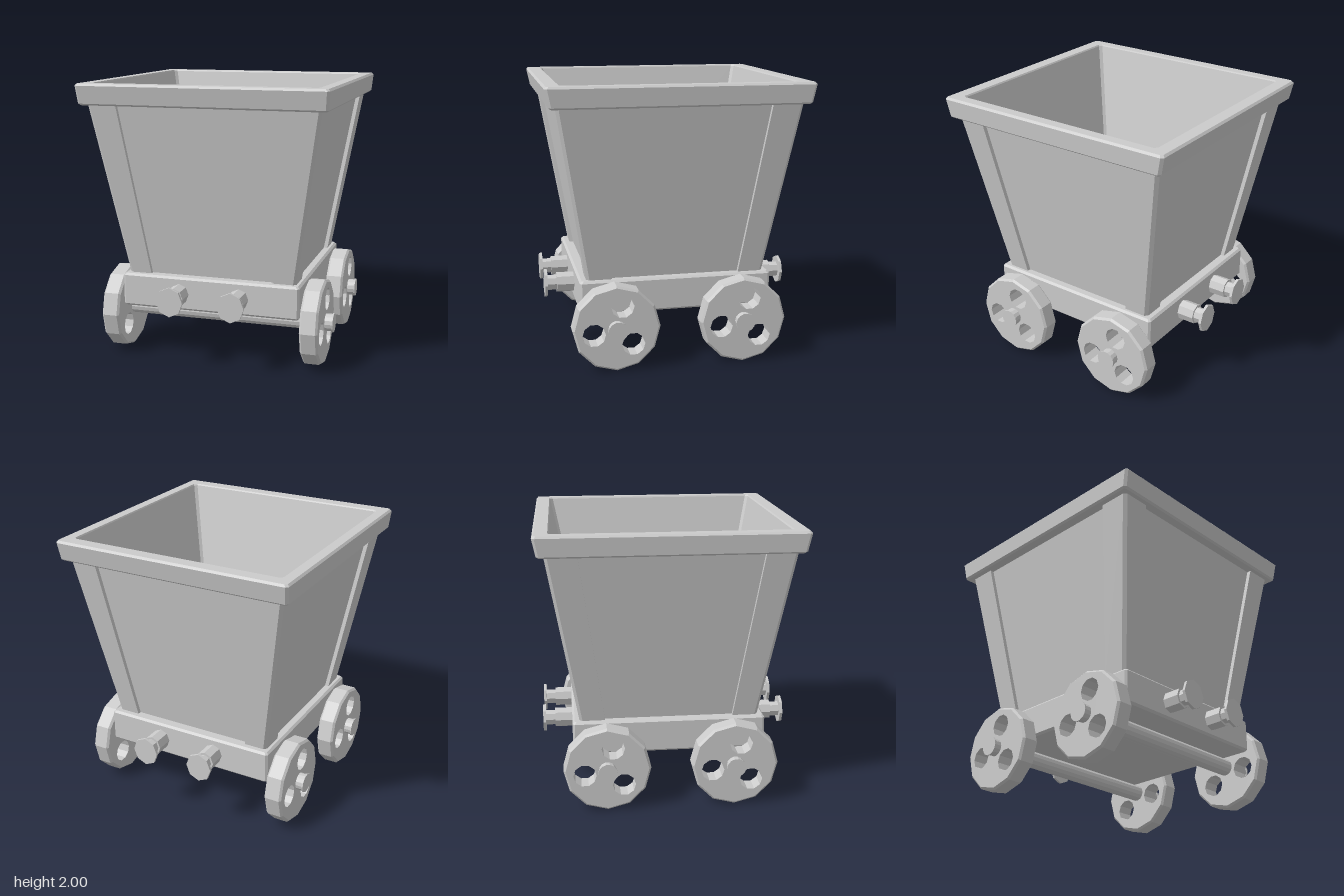
import * as THREE from 'three';

const material = new THREE.MeshStandardMaterial({ color: 0xcccccc, flatShading: true });

function addMesh(parent, name, geometry) {
  const mesh = new THREE.Mesh(geometry, material);
  mesh.name = name;
  parent.add(mesh);
  return mesh;
}

// Skin a list of closed rings (counter-clockwise from above, bottom to top)
function loft(rings) {
  const pos = [];
  const tri = (a, b, c) => {
    if (a.distanceTo(b) && b.distanceTo(c) && c.distanceTo(a)) {
      pos.push(...a.toArray(), ...b.toArray(), ...c.toArray());
    }
  };
  for (let k = 0; k + 1 < rings.length; k++) {
    const lo = rings[k], hi = rings[k + 1], n = lo.length;
    for (let i = 0; i < n; i++) {
      const j = (i + 1) % n;
      tri(lo[i], lo[j], hi[j]);
      tri(lo[i], hi[j], hi[i]);
    }
  }
  const geometry = new THREE.BufferGeometry();
  geometry.setAttribute('position', new THREE.Float32BufferAttribute(pos, 3));
  geometry.computeVertexNormals();
  return geometry;
}

// Rectangle with chamfered corners: half width, half depth, chamfer, height
function rectRing([hx, hz, c, y]) {
  return [
    [c - hx, hz], [hx - c, hz], [hx, hz - c], [hx, c - hz],
    [hx - c, -hz], [c - hx, -hz], [-hx, c - hz], [-hx, hz - c],
  ].map(([x, z]) => new THREE.Vector3(x, y, z));
}

// L-shaped section of a corner post, mirrored into its corner
function postRing(X, Z, xi, zi, y, sx, sz) {
  const c = 0.022, d = 0.04;
  const ring = [
    [xi, Z], [X - c, Z], [X, Z - c], [X, zi],
    [X - d, zi], [X - d, Z - d], [xi, Z - d],
  ].map(([x, z]) => new THREE.Vector3(x * sx, y, z * sz));
  return sx * sz < 0 ? ring.reverse() : ring;
}

function polygon(path, cx, cy, r, sides) {
  const pts = [];
  for (let i = 0; i < sides; i++) {
    const a = (i / sides) * Math.PI * 2;
    pts.push(new THREE.Vector2(cx + r * Math.cos(a), cy + r * Math.sin(a)));
  }
  path.setFromPoints(pts);
  path.closePath();
  return path;
}

// Twelve-sided wheel with three round holes, axis along z
function createWheel() {
  const wheel = new THREE.Group();
  const r = 0.31, w = 0.13, b = 0.015;
  const shape = polygon(new THREE.Shape(), 0, 0, r - b, 12);
  for (const [x, y] of [[0.042, 0.16], [-0.16, -0.037], [0.117, -0.117]]) {
    shape.holes.push(polygon(new THREE.Path(), x, y, 0.082, 10));
  }
  const disc = new THREE.ExtrudeGeometry(shape, { depth: w, bevelEnabled: false });
  addMesh(wheel, 'wheelDisc', disc.translate(0, 0, -w / 2));
  const profile = [[r - b, 0], [r, b], [r, w - b], [r - b, w]]
    .map(([x, y]) => new THREE.Vector2(x, y - w / 2));
  addMesh(wheel, 'wheelTread', new THREE.LatheGeometry(profile, 12).rotateX(Math.PI / 2));
  return wheel;
}

// Stepped buffer pointing along +z from the chassis end
function createBuffer() {
  const buffer = new THREE.Group();
  const steps = [
    ['bufferCollar', 0.075, 0.67, 0.815],
    ['bufferStem', 0.058, 0.80, 0.89],
    ['bufferPlate', 0.106, 0.884, 0.904],
  ];
  for (const [name, r, z0, z1] of steps) {
    const g = new THREE.CylinderGeometry(r, r, z1 - z0, 8).rotateX(Math.PI / 2);
    addMesh(buffer, name, g.scale(0.92, 1, 1).translate(0, 0, (z0 + z1) / 2));
  }
  return buffer;
}

export function createModel() {
  const cart = new THREE.Group();
  cart.name = 'mineCart';

  // Chassis block with bevelled edges
  addMesh(cart, 'chassis', loft([
    [0, 0, 0, 0.38], [0.64, 0.675, 0.012, 0.38], [0.655, 0.69, 0.015, 0.395],
    [0.655, 0.69, 0.015, 0.607], [0.64, 0.675, 0.012, 0.622], [0, 0, 0, 0.622],
  ].map(rectRing)));

  // Flared outer panels
  addMesh(cart, 'tubPanels', loft([
    [0.59, 0.61, 0.01, 0.61], [0.797, 0.82, 0.01, 1.86],
  ].map(rectRing)));

  // Rim, running over the top and down into the inner walls and floor
  addMesh(cart, 'rimAndLining', loft([
    [0.76, 0.78, 0.01, 1.85], [0.86, 0.88, 0.012, 1.85], [0.875, 0.895, 0.018, 1.862],
    [0.885, 0.92, 0.018, 1.985], [0.872, 0.907, 0.015, 2],
    [0.80, 0.817, 0.02, 2], [0.795, 0.81, 0.02, 1.99],
    [0.515, 0.527, 0.015, 0.64], [0, 0, 0, 0.64],
  ].map(rectRing)));

  // Corner posts
  for (const sx of [1, -1]) for (const sz of [1, -1]) {
    addMesh(cart, 'cornerPost', loft([
      postRing(0.62, 0.64, 0.453, 0.458, 0.615, sx, sz),
      postRing(0.826, 0.85, 0.613, 0.629, 1.86, sx, sz),
    ]));
  }

  // Axles with end caps, and the wheels
  for (const sz of [1, -1]) {
    const axleSet = new THREE.Group();
    axleSet.name = sz > 0 ? 'frontAxleSet' : 'rearAxleSet';
    axleSet.position.set(0, 0.315, sz * 0.455);
    cart.add(axleSet);
    addMesh(axleSet, 'axle', new THREE.CylinderGeometry(0.062, 0.062, 1.71, 14).rotateZ(Math.PI / 2));
    for (const sx of [1, -1]) {
      const cap = new THREE.CylinderGeometry(0.069, 0.069, 0.012, 14).rotateZ(Math.PI / 2);
      addMesh(axleSet, 'axleCap', cap).position.x = sx * 0.854;
      const wheel = createWheel();
      wheel.name = sx > 0 ? 'leftWheel' : 'rightWheel';
      wheel.position.x = sx * 0.735;
      wheel.rotation.y = sx * Math.PI / 2;
      axleSet.add(wheel);
    }
  }

  // Buffers, two at each end
  for (const end of [0, 1]) for (const sx of [1, -1]) {
    const buffer = createBuffer();
    buffer.name = end ? 'rearBuffer' : 'frontBuffer';
    buffer.position.set(sx * 0.222, 0.5, 0);
    buffer.rotation.y = end * Math.PI;
    cart.add(buffer);
  }
  return cart;
}
